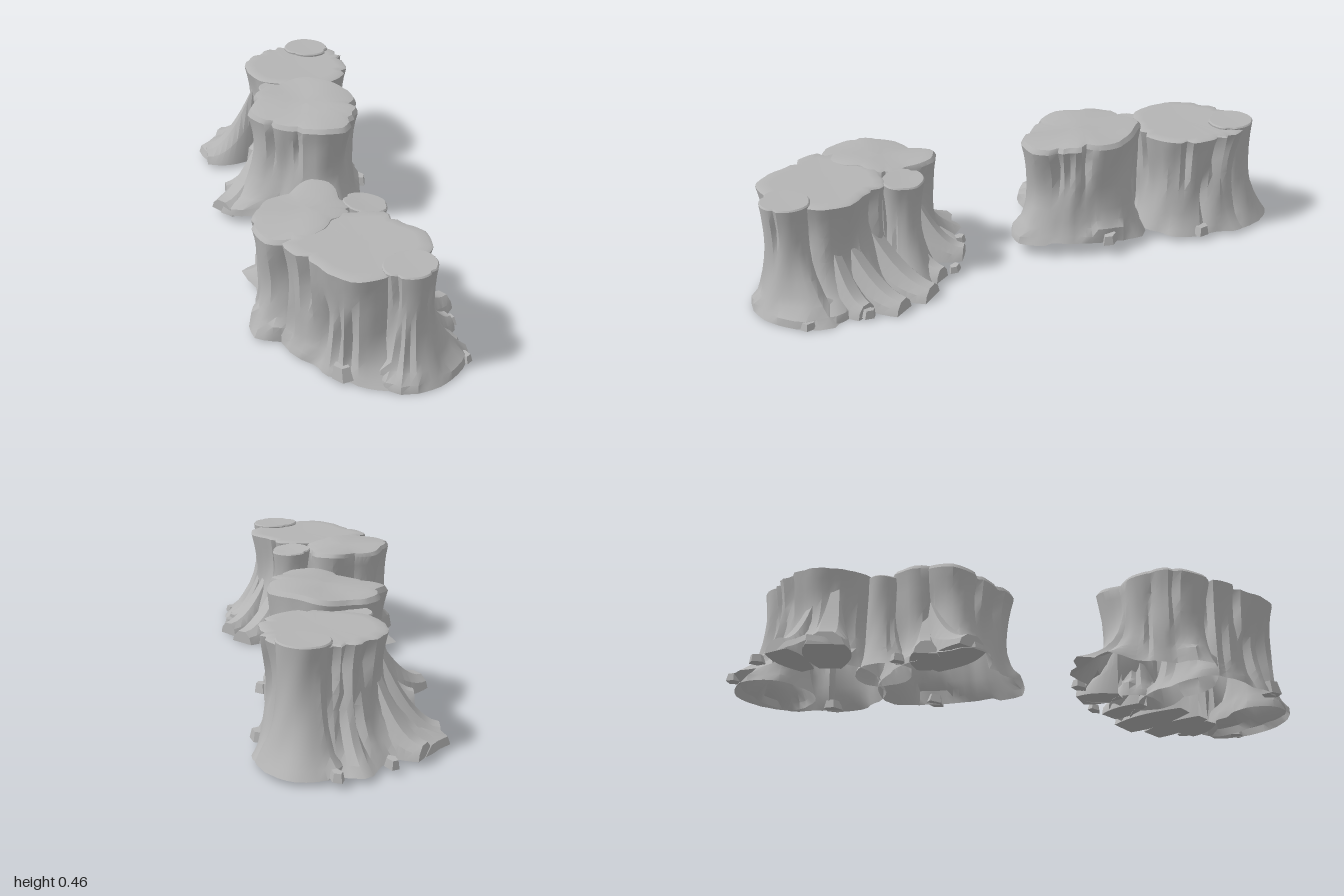
import * as THREE from 'three';
import { toCreasedNormals } from 'three/addons/utils/BufferGeometryUtils.js';

const stone = new THREE.MeshStandardMaterial({ color: 0xb4b4b4, side: THREE.DoubleSide });
stone.name = 'grey stone';

let seed = 7;
const rand = () => {
  seed = (seed * 16807) % 2147483647;
  return seed / 2147483647;
};

// Uneven ground: slightly raised between the two formations
const ground = (z) => (z < 0 ? 0.017 : 0.002) + 0.048 * Math.max(0, 1 - Math.abs(z) / 0.5);

// Radius of an outline (list of [x, z]) at any angle around a centre
function radial([cx, cz], outline) {
  const p = outline
    .map(([x, z]) => ({ a: Math.atan2(z - cz, x - cx), r: Math.hypot(x - cx, z - cz) }))
    .sort((m, n) => m.a - n.a);
  const first = p[0], last = p[p.length - 1];
  p.unshift({ a: last.a - 2 * Math.PI, r: last.r });
  p.push({ a: first.a + 2 * Math.PI, r: first.r });
  return (a) => {
    let i = 1;
    while (i < p.length - 1 && p[i].a < a) i++;
    const m = p[i - 1], n = p[i];
    const k = (a - m.a) / (n.a - m.a || 1);
    return m.r + (n.r - m.r) * k;
  };
}

const circle = ([cx, cz], rx, rz) =>
  Array.from({ length: 10 }, (_, i) => {
    const a = (i / 10) * 2 * Math.PI - 3, k = 0.92 + 0.15 * rand();
    return [cx + rx * k * Math.cos(a), cz + rz * k * Math.sin(a)];
  });

// Skin over stacked rings of points
function loft(rings, crease) {
  const n = rings[0].length, pos = rings.flat(2), idx = [];
  for (let j = 0; j < rings.length - 1; j++)
    for (let i = 0; i < n; i++) {
      const a = j * n + i, b = j * n + ((i + 1) % n);
      idx.push(a, a + n, b, b, a + n, b + n);
    }
  const g = new THREE.BufferGeometry();
  g.setAttribute('position', new THREE.Float32BufferAttribute(pos, 3));
  g.setIndex(idx);
  return toCreasedNormals(g, crease);
}

function add(parent, name, geometry) {
  const mesh = new THREE.Mesh(geometry, stone);
  mesh.name = name;
  parent.add(mesh);
}

// Runs of neighbouring wall strips sharing random traits: buttresses, ledges and clefts
function strips(sides, cracks) {
  const list = [];
  while (list.length < sides) {
    const run = 2 + Math.floor(rand() * 4);
    const push = rand() * 2 - 1, ledge = rand() < 0.45 ? 0.1 + 0.1 * rand() : 0;
    const rim = -0.06 * rand(), foot = -0.06 * rand();
    for (let k = 0; k < run; k++) list.push({ push, ledge, rim, foot, cleft: 0, at: 0.5 });
  }
  list.length = sides;
  for (let k = 0; k < cracks; k++) {
    const s = list[Math.floor(rand() * sides)];
    s.cleft = 0.1 + 0.12 * rand();
    s.at = rand() < 0.6 ? 0.8 : 0.35;
  }
  return list;
}

// Open-bottomed rock column: flared foot, drawn-in waist, overhanging rim, broken sides
function column(parent, name, o) {
  const { c, waist = 0.85, top, rough = 0.05, cracks = 8, flare = 3.5, sides = 56, slope = 0, dome = 0, soft = 0 } = o;
  const topR = radial(c, o.rim), footR = radial(c, o.foot);
  const walls = strips(sides, cracks);
  const levels = [0, 0.07, 0.15, 0.22, 0.34, 0.46, 0.58, 0.7, 0.8, 0.9, 1];
  const ring = (t, inset = 1, lift = 0) =>
    walls.map((s, i) => {
      const a = -Math.PI + ((i + 0.5) / sides) * 2 * Math.PI;
      const R = topR(a) * (1 + s.rim), F = Math.max(footR(a) * (1 + s.foot), R * 0.85), W = R * waist;
      const f = t < s.ledge ? 1 - 0.6 * t : (1 - t) ** flare;
      const mid = Math.sin(Math.PI * t);
      let r = W + (F - W) * f + (R - W) * t ** 2.5;
      r *= 1 + rough * mid * (s.push + 0.5 * Math.sin(5 * a + 6 * t));
      r *= (1 - s.cleft * Math.max(0, 1 - Math.abs(t - s.at) / 0.4)) * inset;
      const x = c[0] + r * Math.cos(a), z = c[1] + r * Math.sin(a);
      const y0 = ground(z);
      const bump = dome * Math.sin(17 * x + 2) * Math.cos(15 * z);
      return [x, y0 + t * (top - soft + slope * (x - c[0]) + bump - y0) + lift, z];
    });
  const rings = levels.map((t) => ring(t));
  rings.push(ring(1, 0.95, 0.005 + soft * 0.7), ring(1, 0.8, 0.005 + soft),
    ring(1, 0.4, 0.003 + soft), ring(1, 0.001, 0.003 + soft));
  add(parent, name, loft(rings, 0.6));
}

// Leaning root: tapered fin sweeping from a wall down to the ground
function root(parent, from, to, width) {
  const [x0, y0, z0] = from, [x1, z1] = to;
  const len = Math.hypot(x1 - x0, z1 - z0), nx = -(z1 - z0) / len, nz = (x1 - x0) / len;
  const rings = [];
  for (let i = 0; i <= 8; i++) {
    const s = i / 8, x = x0 + (x1 - x0) * s, z = z0 + (z1 - z0) * s;
    const low = ground(z), high = low + 0.05 + (y0 - low) * (1 - s) ** 1.8;
    const w = width * (0.5 + 0.6 * Math.sin(Math.PI * Math.min(1, s * 0.8)));
    rings.push([[-w, low], [-w * 0.8, low + (high - low) * 0.6], [-w * 0.35, high],
      [w * 0.4, high * 0.96], [w * 0.85, low + (high - low) * 0.5], [w, low]]
      .map(([u, y]) => [x + nx * u, y, z + nz * u]));
  }
  const tip = rings[8];
  const cap = tip.map(() => [0, 1, 2].map((k) => tip.reduce((s, p) => s + p[k], 0) / tip.length));
  add(parent, 'root', loft([...rings, cap], 0.5));
}

// Loose flat stone
function chip(parent, x, z, w, h) {
  const g = new THREE.CylinderGeometry(w * 0.75, w, h, 5);
  g.rotateY(rand() * 6).scale(0.8, 1, 1.15);
  g.rotateX(0.3 * rand() - 0.15);
  g.translate(x, ground(z) + h * 0.6, z);
  add(parent, 'looseStone', toCreasedNormals(g, 0.3));
}

export function createModel() {
  const model = new THREE.Group();
  const front = new THREE.Group(), back = new THREE.Group();
  front.name = 'frontFormation';
  back.name = 'backFormation';
  model.add(front, back);

  // Front formation
  column(front, 'flatMesa', {
    c: [-0.36, 0.64], top: 0.405, cracks: 14,
    rim: [[-0.59, 0.48], [-0.48, 0.43], [-0.36, 0.43], [-0.24, 0.48], [-0.16, 0.53], [-0.17, 0.64],
      [-0.14, 0.73], [-0.19, 0.82], [-0.33, 0.86], [-0.45, 0.87], [-0.55, 0.83], [-0.57, 0.66]],
    foot: [[-0.59, 0.46], [-0.4, 0.4], [-0.16, 0.42], [-0.03, 0.5], [-0.06, 0.57], [-0.01, 0.66],
      [-0.1, 0.76], [-0.08, 0.88], [-0.25, 0.94], [-0.46, 0.95], [-0.55, 0.83], [-0.58, 0.65]],
  });
  column(front, 'roundedBluff', {
    c: [-0.37, 0.36], top: 0.408, cracks: 6, dome: 0.008, soft: 0.014,
    rim: [[-0.6, 0.46], [-0.59, 0.33], [-0.52, 0.25], [-0.44, 0.19], [-0.34, 0.21], [-0.23, 0.18],
      [-0.18, 0.25], [-0.22, 0.36], [-0.25, 0.46], [-0.36, 0.48]],
    foot: [[-0.6, 0.48], [-0.66, 0.41], [-0.63, 0.33], [-0.55, 0.3], [-0.47, 0.19], [-0.45, 0.05],
      [-0.39, 0.04], [-0.335, -0.025], [-0.28, 0.04], [-0.21, 0.06], [-0.19, 0.17], [-0.06, 0.24],
      [-0.12, 0.34], [-0.13, 0.44], [-0.36, 0.5]],
  });
  column(front, 'frontPillar', {
    c: [-0.34, 0.865], top: 0.413, waist: 0.74, cracks: 5, sides: 32, flare: 3,
    rim: circle([-0.34, 0.865], 0.108, 0.085),
    foot: [[-0.49, 0.88], [-0.47, 0.96], [-0.37, 1.01], [-0.25, 1.005], [-0.16, 0.97], [-0.08, 0.9],
      [-0.1, 0.83], [-0.3, 0.78], [-0.45, 0.8]],
  });
  column(front, 'sidePillar', {
    c: [-0.17, 0.435], top: 0.395, waist: 0.62, cracks: 4, sides: 28, flare: 2.6, slope: -0.1,
    rim: circle([-0.17, 0.435], 0.08, 0.088),
    foot: [[-0.02, 0.44], [-0.04, 0.52], [-0.16, 0.54], [-0.27, 0.45], [-0.2, 0.32], [-0.08, 0.35]],
  });
  [[[-0.26, 0.3, 0.59], [0.03, 0.51], 0.065], [[-0.24, 0.26, 0.7], [0.02, 0.65], 0.055],
    [[-0.22, 0.22, 0.76], [-0.06, 0.76], 0.05], [[-0.2, 0.2, 0.32], [-0.06, 0.23], 0.05],
    [[-0.2, 0.18, 0.43], [-0.02, 0.4], 0.045]].forEach((r) => root(front, ...r));

  // Back formation
  column(back, 'flatMesa', {
    c: [0.36, -0.65], top: 0.418, cracks: 14,
    rim: [[0.13, -0.6], [0.14, -0.7], [0.2, -0.8], [0.3, -0.87], [0.42, -0.87], [0.53, -0.83],
      [0.59, -0.7], [0.56, -0.57], [0.46, -0.44], [0.33, -0.42], [0.23, -0.5]],
    foot: [[0.1, -0.62], [0.1, -0.7], [-0.02, -0.77], [0, -0.9], [0.08, -0.92], [0.16, -0.97],
      [0.24, -0.92], [0.3, -0.94], [0.41, -1.02], [0.47, -0.95], [0.56, -0.9], [0.64, -0.66],
      [0.56, -0.56], [0.48, -0.43], [0.36, -0.41], [0.22, -0.47]],
  });
  column(back, 'cornerPillar', {
    c: [0.505, -0.765], top: 0.428, waist: 0.8, cracks: 5, sides: 32, flare: 3,
    rim: circle([0.505, -0.765], 0.092, 0.1),
    foot: [[0.655, -0.8], [0.64, -0.66], [0.52, -0.62], [0.4, -0.75], [0.5, -0.95], [0.59, -0.93]],
  });
  column(back, 'roundedBluff', {
    c: [0.11, -0.26], top: 0.447, cracks: 6, slope: 0.06, dome: 0.008, soft: 0.018, waist: 0.87,
    rim: [[-0.11, -0.38], [-0.02, -0.44], [0.02, -0.5], [0.1, -0.52], [0.15, -0.5], [0.25, -0.49],
      [0.31, -0.39], [0.33, -0.25], [0.27, -0.14], [0.19, -0.04], [0.09, 0.02], [0, -0.02],
      [-0.05, -0.14], [-0.09, -0.24]],
    foot: [[-0.25, -0.31], [-0.265, -0.39], [-0.18, -0.44], [-0.13, -0.52], [-0.05, -0.5], [0.1, -0.52],
      [0.3, -0.46], [0.4, -0.35], [0.34, -0.22], [0.28, -0.12], [0.2, -0.02], [0.13, 0.03],
      [0.07, 0.055], [-0.02, 0.01], [-0.05, -0.1], [-0.09, -0.2]],
  });
  column(back, 'middlePillar', {
    c: [0.16, -0.52], top: 0.41, waist: 0.78, cracks: 4, sides: 28,
    rim: circle([0.16, -0.52], 0.075, 0.08),
    foot: circle([0.12, -0.53], 0.12, 0.11),
  });
  [[[0.18, 0.3, -0.72], [0.0, -0.83], 0.08], [[0.24, 0.26, -0.78], [0.15, -0.95], 0.055],
    [[0.0, 0.26, -0.4], [-0.24, -0.37], 0.07], [[0.02, 0.2, -0.42], [-0.13, -0.5], 0.05]]
    .forEach((r) => root(back, ...r));

  // Loose stones around the feet: x, z, width, height
  [[-0.14, 0.17, 0.03, 0.03], [-0.02, 0.33, 0.025, 0.025], [-0.05, 0.76, 0.028, 0.03],
    [-0.16, 0.95, 0.03, 0.025], [-0.55, 0.77, 0.04, 0.05]].forEach((s) => chip(front, ...s));
  [[0.29, -0.96, 0.029, 0.03], [0.5, -0.96, 0.028, 0.03], [0.54, -0.53, 0.035, 0.035],
    [0, -0.54, 0.028, 0.03], [0.33, -0.19, 0.035, 0.035]].forEach((s) => chip(back, ...s));
  return model;
}
